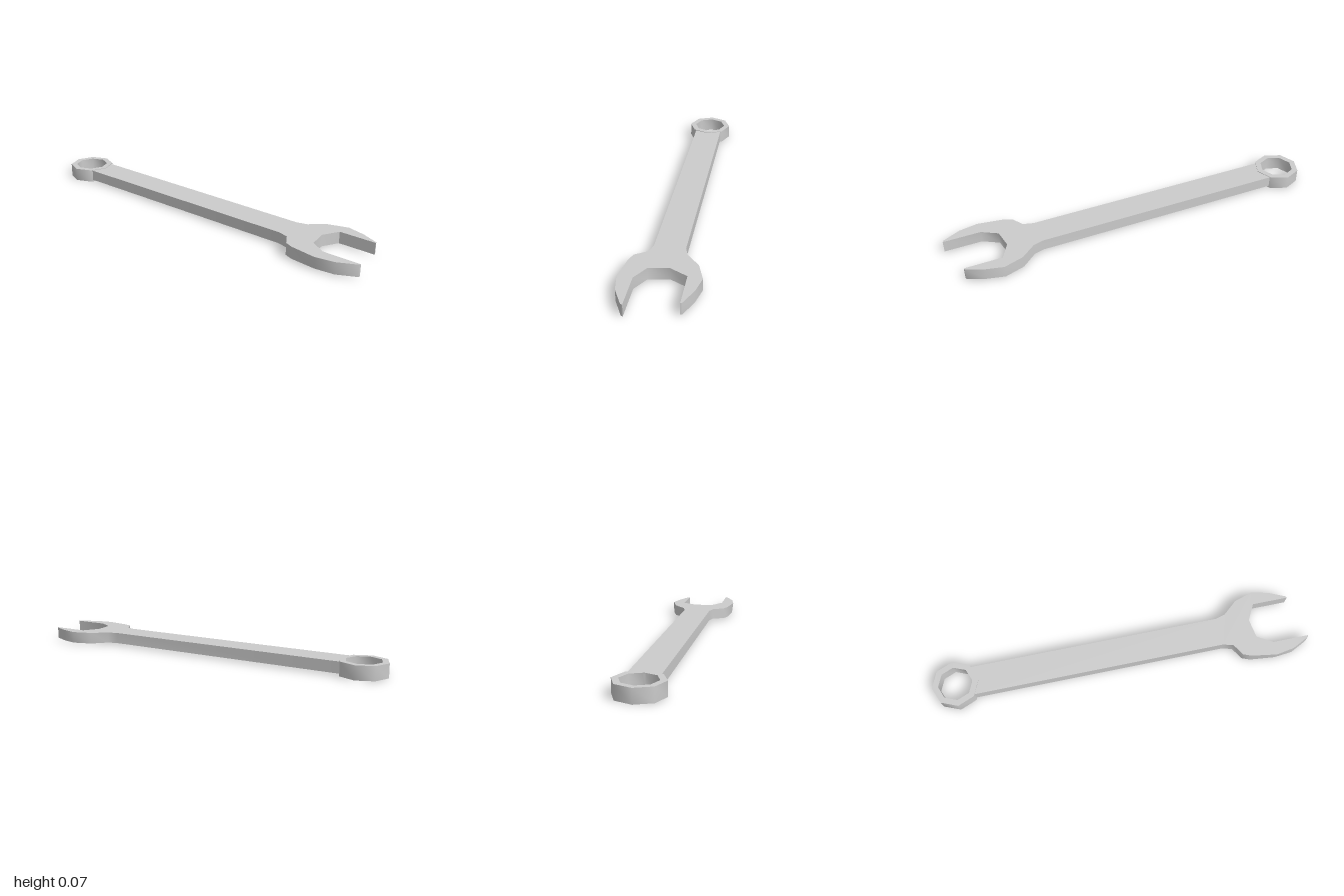
import * as THREE from 'three';
import { toCreasedNormals } from 'three/addons/utils/BufferGeometryUtils.js';

const material = new THREE.MeshStandardMaterial({ color: 0xcccccc });
const CREASE = 1;

// Extrude a plan outline (shape y = -z) upwards from y0 to y1
function slab(shape, y0, y1) {
  const geo = new THREE.ExtrudeGeometry(shape, { depth: y1 - y0, bevelEnabled: false });
  return geo.rotateX(-Math.PI / 2).translate(0, y0, 0);
}

function part(name, geo) {
  const mesh = new THREE.Mesh(toCreasedNormals(geo, CREASE), material);
  mesh.name = name;
  return mesh;
}

const toShape = (points) => new THREE.Shape(points.map(([x, z]) => new THREE.Vector2(x, -z)));

// Corners of an octagon around (x, z), counter-clockwise seen from above
function octagon(radius, x, z) {
  return Array.from({ length: 8 }, (_, i) => {
    const a = (i * Math.PI) / 4;
    return [x + radius * Math.cos(a), z - radius * Math.sin(a)];
  });
}

export function createModel() {
  const group = new THREE.Group();
  group.name = 'combinationWrench';

  // Handle and open jaw share one outline, as [x, z]
  const outline = [
    [-0.075, -0.79], [-0.075, 0.543], [-0.09, 0.595], [-0.15, 0.632], [-0.167, 0.673],
    [-0.188, 0.808], [-0.171, 0.904], [-0.126, 0.995], [-0.116, 1],
    [-0.116, 0.808], [-0.068, 0.728], [0.033, 0.713], [0.118, 0.76],
    [0.118, 0.95], [0.126, 0.948], [0.166, 0.86], [0.188, 0.77],
    [0.156, 0.67], [0.092, 0.595], [0.077, 0.543], [0.077, -0.79],
  ];
  const body = slab(toShape(outline), 0.007, 0.068);

  // Thin the handle's underside and lean the wide side of the jaw inwards below
  const pos = body.attributes.position;
  for (let i = 0; i < pos.count; i++) {
    if (pos.getY(i) > 0.03) continue;
    if (pos.getZ(i) < 0.6) pos.setY(i, 0.01);
    if (pos.getX(i) < -0.18) pos.setX(i, -0.181);
  }
  group.add(part('handleAndOpenJaw', body));

  // Eight-sided ring end
  const ring = toShape(octagon(0.122, 0.001, -0.878));
  ring.holes.push(toShape(octagon(0.09, 0.001, -0.878)));
  group.add(part('ringEnd', slab(ring, 0, 0.071)));

  return group;
}
